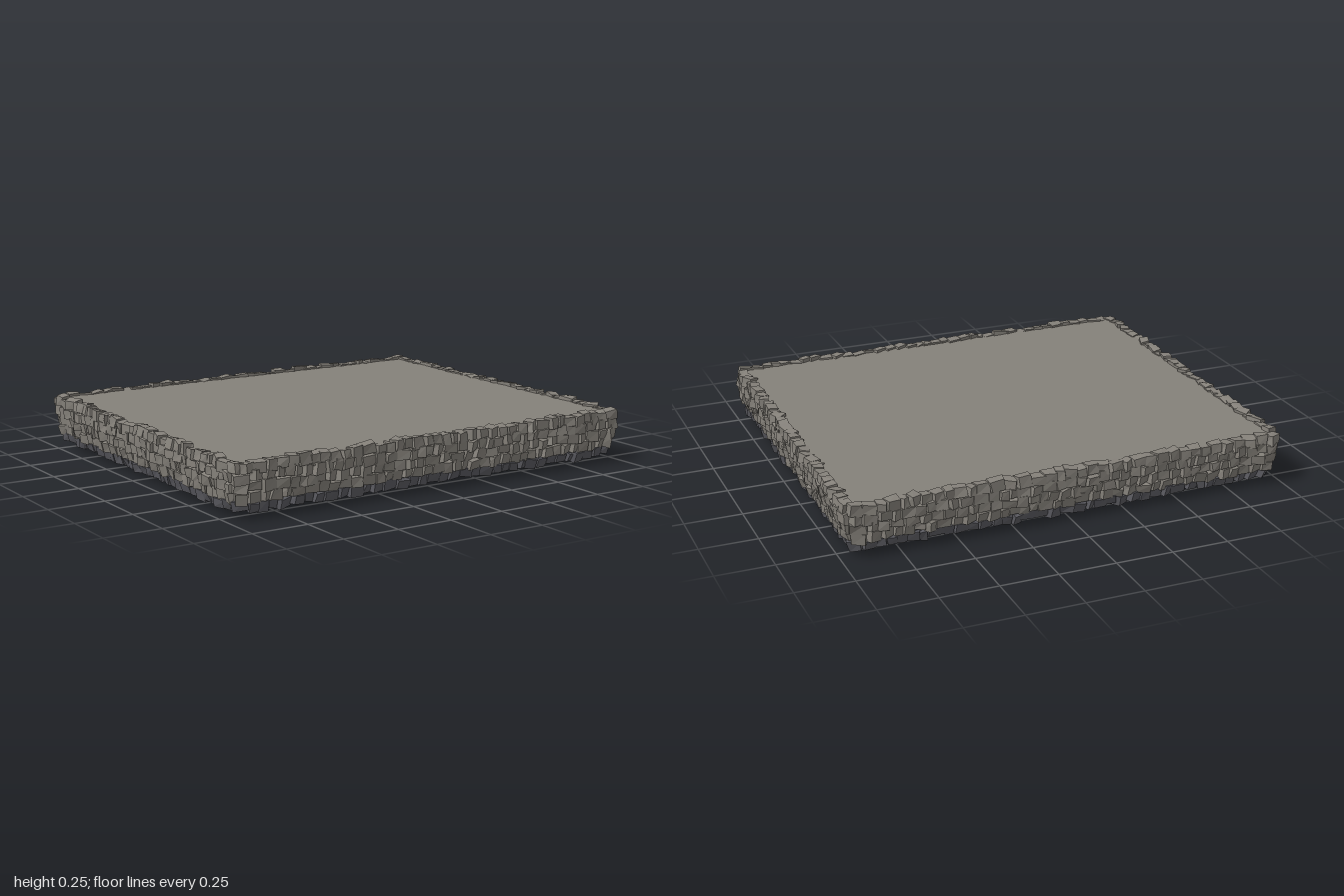
import * as THREE from 'three';
import { mergeGeometries } from 'three/addons/utils/BufferGeometryUtils.js';

const HX = 0.965, HZ = 0.82, DECK_Y = 0.225, RIM_Y = 0.03;

const stone = new THREE.MeshStandardMaterial({ color: 0x85817a, flatShading: true });
stone.name = 'warm grey stone';
const darkStone = new THREE.MeshStandardMaterial({ color: 0x5a5a60, flatShading: true });
darkStone.name = 'dark slate stone';
const earth = new THREE.MeshStandardMaterial({ color: 0x3c3c3f, flatShading: true });
earth.name = 'dark underside';

// Small seeded generator; spread(a) gives a value in -a..a
let seed = 7;
function random() {
  seed = (seed * 16807) % 2147483647;
  return seed / 2147483647;
}
const spread = (a) => (random() * 2 - 1) * a;

// Rounded rectangle in x and z, pulled in by inset
function outline(inset) {
  const x = HX - inset, z = HZ - inset, r = 0.035;
  const s = new THREE.Shape();
  s.moveTo(x, -z + r);
  s.lineTo(x, z - r);
  s.quadraticCurveTo(x, z, x - r, z);
  s.lineTo(-x + r, z);
  s.quadraticCurveTo(-x, z, -x, z - r);
  s.lineTo(-x, -z + r);
  s.quadraticCurveTo(-x, -z, -x + r, -z);
  s.lineTo(x - r, -z);
  s.quadraticCurveTo(x, -z, x, -z + r);
  return s;
}

function ring(inset, y) {
  const pts = outline(inset).getPoints(4).map((p) => new THREE.Vector3(p.x, y, p.y));
  return pts.slice(0, -1);
}

function fromTriangles(points) {
  const g = new THREE.BufferGeometry().setFromPoints(points);
  g.computeVertexNormals();
  return g;
}

// Fan from a centre point to a ring, facing up or down
function fan(loop, centreY, up) {
  const c = new THREE.Vector3(0, centreY, 0);
  return fromTriangles(loop.flatMap((p, i) => {
    const q = loop[(i + 1) % loop.length];
    return up ? [c, q, p] : [c, p, q];
  }));
}

// Wall between a lower and an upper ring
function wall(lower, upper) {
  return fromTriangles(lower.flatMap((a, i) => {
    const j = (i + 1) % lower.length;
    return [a, upper[i], lower[j], upper[i], upper[j], lower[j]];
  }));
}

// Rough block whose outer face (+z) is narrower than its back
function roughBlock(w, h, d) {
  const g = new THREE.BoxGeometry(w, h, d);
  const pos = g.attributes.position;
  const corners = new Map();
  for (let i = 0; i < pos.count; i++) {
    const v = new THREE.Vector3().fromBufferAttribute(pos, i);
    const key = [v.x > 0, v.y > 0, v.z > 0].join();
    if (!corners.has(key)) {
      const k = v.z > 0 ? 0.86 : 1;
      corners.set(key, new THREE.Vector3(
        v.x * k + spread(0.005), v.y * k + spread(0.004), v.z + spread(0.004)));
    }
    const c = corners.get(key);
    pos.setXYZ(i, c.x, c.y, c.z);
  }
  g.computeVertexNormals();
  return g;
}

// One course of blocks set around the outline
function course(y, inset, tilt) {
  const path = outline(inset);
  const length = path.getLength();
  const blocks = [];
  const holder = new THREE.Object3D();
  holder.rotation.order = 'YXZ';
  let at = random() * 0.03;
  const end = at + length;
  while (at < end - 0.015) {
    const w = 0.04 + random() * 0.032;
    const u = ((at + w / 2) / length) % 1;
    const p = path.getPointAt(u), t = path.getTangentAt(u);
    holder.position.set(p.x + t.y * spread(0.004), y + spread(0.006), p.y - t.x * spread(0.004));
    holder.rotation.set(
      tilt + spread(0.12),
      Math.atan2(t.y, -t.x) + 0.12 + spread(0.42),
      spread(0.1));
    holder.updateMatrix();
    blocks.push(roughBlock(w * 1.06, 0.044 + random() * 0.012, 0.042).applyMatrix4(holder.matrix));
    at += w * 0.93;
  }
  return mergeGeometries(blocks);
}

export function createModel() {
  const model = new THREE.Group();
  model.name = 'stoneEdgedPlatform';
  const add = (name, geometry, material) => {
    const mesh = new THREE.Mesh(geometry, material);
    mesh.name = name;
    model.add(mesh);
  };

  // Solid core: flat deck, sloping sides and shallow pointed underside
  const top = ring(0.005, DECK_Y), middle = ring(0.01, 0.075), bottom = ring(0.035, RIM_Y);
  add('deck', fan(top, DECK_Y, true), stone);
  add('upperWall', wall(middle, top), stone);
  add('lowerWall', wall(bottom, middle), darkStone);
  add('underside', fan(bottom, 0, false), earth);

  // Courses of rough blocks: height, inset, tilt
  const courses = [
    [0.051, 0.028, 0.28],
    [0.091, 0.014, 0.18],
    [0.132, 0.006, 0.1],
    [0.173, 0, 0.03],
    [0.211, 0.002, -0.08],
  ];
  courses.forEach(([y, inset, tilt], i) => {
    add('stoneCourse' + (i + 1), course(y, inset, tilt), i === 0 ? darkStone : stone);
  });
  return model;
}
